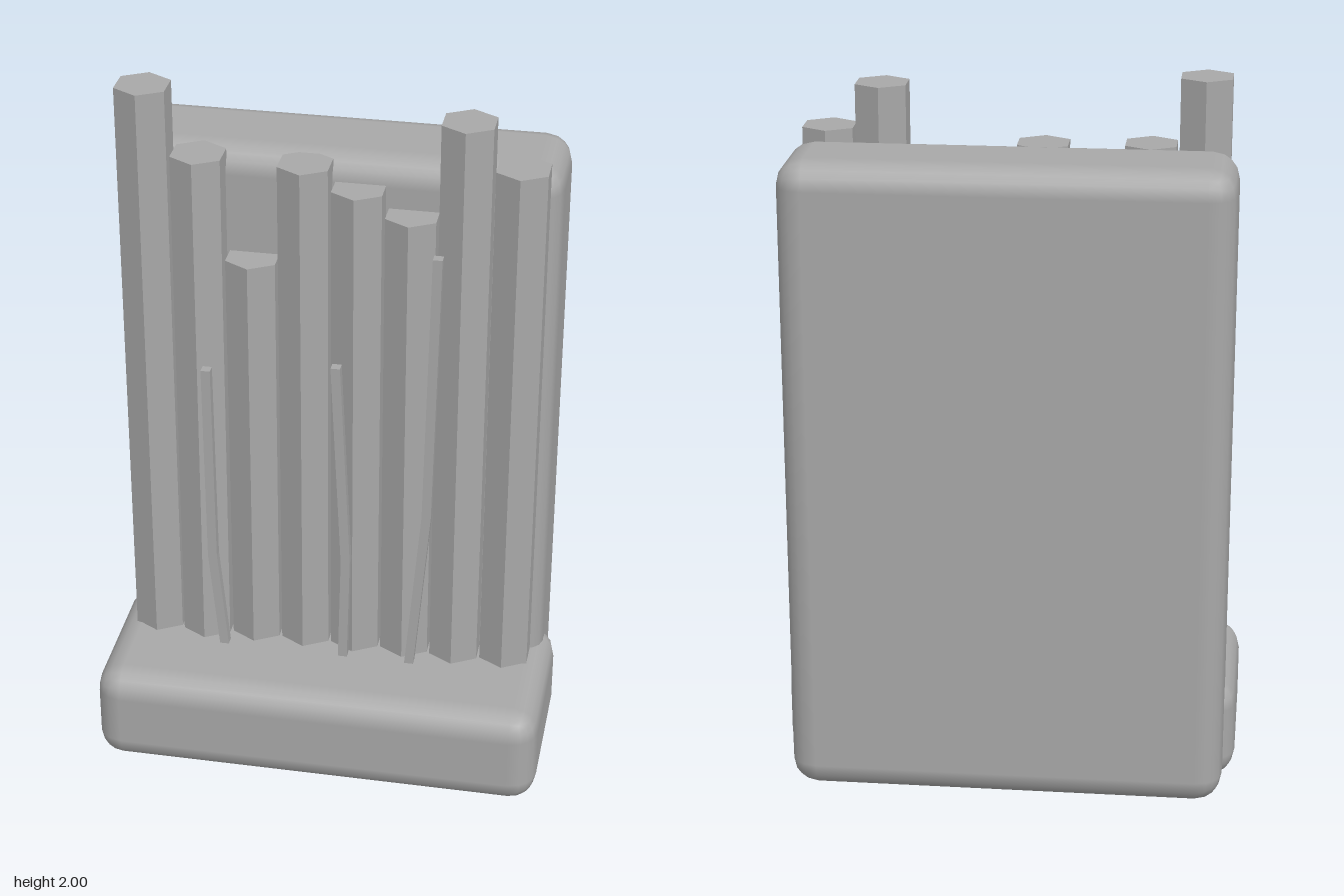
import * as THREE from 'three';
import { RoundedBoxGeometry } from 'three/addons/geometries/RoundedBoxGeometry.js';

export function createModel() {
  const model = new THREE.Group();
  model.name = 'basaltCliff';

  const stone = new THREE.MeshStandardMaterial({ color: 0xa8a8a8 });
  stone.name = 'greyStone';
  const facetedStone = (geometry) => {
    const flat = geometry.toNonIndexed();
    flat.computeVertexNormals();
    return flat;
  };
  const add = (name, geometry) => {
    const mesh = new THREE.Mesh(geometry, stone);
    mesh.name = name;
    model.add(mesh);
    return mesh;
  };

  // Rounded rock masses: tall slab behind, low ledge in front
  add('backSlab', new RoundedBoxGeometry(1.21, 1.81, 0.32, 2, 0.075)).position.set(0, 0.915, -0.18);
  add('baseLedge', new RoundedBoxGeometry(1.274, 0.295, 0.525, 2, 0.075)).position.set(0, 0.157, 0.077);

  // Row of hexagonal columns: [height, backward lean]
  const columns = [
    [2.0, 0], [1.815, 0.012], [1.52, 0], [1.81, 0],
    [1.75, 0], [1.685, 0], [1.965, 0.008], [1.845, 0],
  ];
  columns.forEach(([height, lean], i) => {
    const geometry = new THREE.CylinderGeometry(0.079, 0.079, height, 6);
    geometry.translate(0, height / 2, 0);
    const p = geometry.attributes.position;
    for (let v = 0; v < p.count; v++) {
      p.setZ(v, p.getZ(v) + lean * (1 - p.getY(v) / height));
    }
    add('column' + (i + 1), facetedStone(geometry)).position.set(-0.51 + i * 0.145, 0, 0.004);
  });

  // Thin bent seams on the column faces: [height, x at bottom, middle, top]
  const seams = [
    [1.21, -0.272, -0.33, -0.336],
    [1.255, 0.04, 0.055, 0.026],
    [1.61, 0.215, 0.283, 0.299],
  ];
  seams.forEach(([height, ...xs], i) => {
    const geometry = new THREE.BoxGeometry(0.026, height, 0.027, 1, 2, 1);
    geometry.translate(0, height / 2, 0.097);
    const p = geometry.attributes.position;
    for (let v = 0; v < p.count; v++) {
      p.setX(v, p.getX(v) + xs[Math.round((2 * p.getY(v)) / height)]);
    }
    add('seam' + (i + 1), facetedStone(geometry));
  });

  return model;
}
